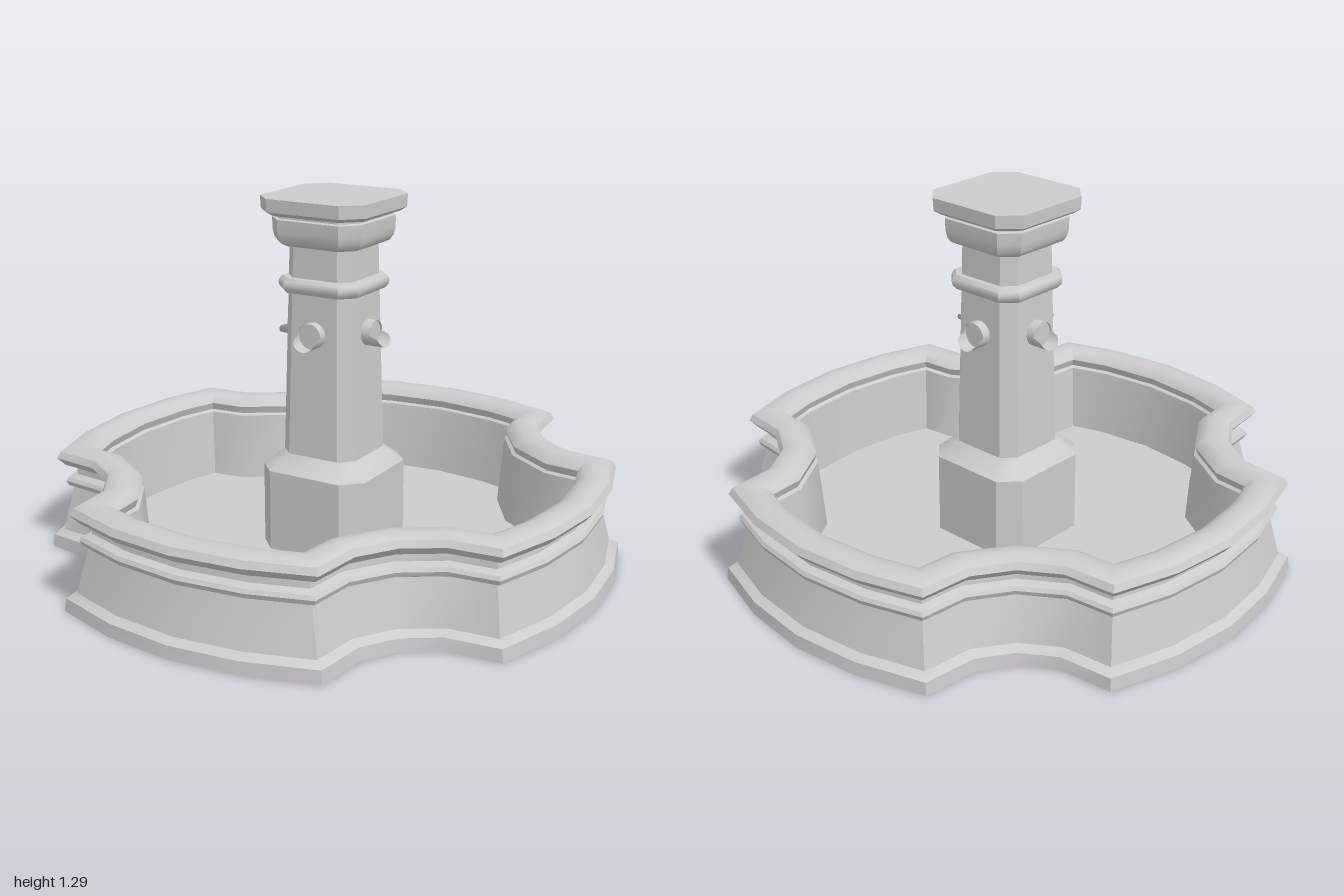
import * as THREE from 'three';
import { toCreasedNormals } from 'three/addons/utils/BufferGeometryUtils.js';

const material = new THREE.MeshStandardMaterial({ color: 0xcccccc, side: THREE.DoubleSide });

// One quarter of the lobed basin outline as [x, z], from the front to the left side
const QUARTER = [[0, 1], [0.25, 0.972], [0.495, 0.895], [0.515, 0.705],
  [0.59, 0.59], [0.705, 0.515], [0.895, 0.495], [0.972, 0.25]];

// Repeats a quarter outline around the y axis
function fourfold(quarter) {
  const points = [];
  let part = quarter;
  for (let k = 0; k < 4; k++) {
    points.push(...part);
    part = part.map(([x, z]) => [z, -x]);
  }
  return points;
}

// Moves a closed outline inward by d, with mitred corners
function inset(points, d) {
  const n = points.length;
  const normal = (a, b) => new THREE.Vector2(b[1] - a[1], a[0] - b[0]).normalize();
  return points.map((p, i) => {
    const n1 = normal(points[(i + n - 1) % n], p);
    const n2 = normal(p, points[(i + 1) % n]);
    const s = d / (1 + n1.dot(n2));
    return [p[0] + (n1.x + n2.x) * s, p[1] + (n1.y + n2.y) * s];
  });
}

// Joins closed rings, one per [size, y] profile point, into a surface
function loft(profile, ringAt) {
  const position = [], index = [];
  let n = 0;
  profile.forEach(([size, y], j) => {
    const ring = ringAt(size);
    n = ring.length;
    ring.forEach(([x, z], i) => {
      position.push(x, y, z);
      if (j === profile.length - 1) return;
      const a = j * n + i, b = j * n + (i + 1) % n;
      index.push(a, b, b + n, a, b + n, a + n);
    });
  });
  const geometry = new THREE.BufferGeometry();
  geometry.setAttribute('position', new THREE.Float32BufferAttribute(position, 3));
  geometry.setIndex(index);
  return toCreasedNormals(geometry, 0.6);
}

// Square with cut corners, h is half its width
function octagon(h) {
  const c = h * 0.68;
  return fourfold([[-c, h], [c, h]]);
}

function add(parent, name, geometry) {
  const mesh = new THREE.Mesh(geometry, material);
  mesh.name = name;
  parent.add(mesh);
  return mesh;
}

// Half-pipe whose lower lip reaches out furthest
function scoopGeometry(radius, back, front, reach) {
  const position = [], index = [], steps = 16;
  for (let i = 0; i <= steps; i++) {
    const a = Math.PI * (1 + i / steps);
    const h = 1 + Math.sin(a);
    const x = Math.cos(a) * radius, y = Math.sin(a) * radius;
    position.push(x, y, back, x, y, front + reach * Math.sqrt(Math.max(0, 1 - h * h)));
    if (i < steps) {
      const k = i * 2;
      index.push(k, k + 2, k + 3, k, k + 3, k + 1);
    }
  }
  const geometry = new THREE.BufferGeometry();
  geometry.setAttribute('position', new THREE.Float32BufferAttribute(position, 3));
  geometry.setIndex(index);
  geometry.computeVertexNormals();
  return geometry;
}

export function createModel() {
  const model = new THREE.Group();
  model.name = 'fountain';

  // Basin wall: plinth, leaning wall, moulding, rounded rim and inner face
  const outline = fourfold(QUARTER);
  const wallProfile = [[0, 0], [0.005, 0.045], [0.035, 0.062], [0.073, 0.22],
    [0.056, 0.228], [0.049, 0.245], [0.057, 0.258], [0.083, 0.268], [0.086, 0.303],
    [0.05, 0.306], [0.025, 0.335], [0.037, 0.358], [0.058, 0.369], [0.085, 0.372],
    [0.112, 0.369], [0.137, 0.358], [0.153, 0.338], [0.143, 0.31], [0.155, 0.303], [0.175, 0.05]];
  add(model, 'basinWall', loft(wallProfile, (d) => inset(outline, d)));

  // Basin floor
  const floorShape = new THREE.Shape(inset(outline, 0.175).map(([x, z]) => new THREE.Vector2(x, -z)));
  const floor = add(model, 'basinFloor', new THREE.ShapeGeometry(floorShape).rotateX(-Math.PI / 2));
  floor.position.y = 0.05;

  // Column: pedestal, tapered shaft, collar, capital and top slab
  const column = new THREE.Group();
  column.name = 'column';
  model.add(column);
  const columnParts = {
    pedestal: [[0.205, 0.05], [0.205, 0.34], [0.143, 0.396]],
    shaft: [[0.144, 0.39], [0.125, 1.15]],
    collar: [[0.125, 0.968], [0.145, 0.97], [0.155, 0.983], [0.158, 0.996], [0.155, 1.009],
      [0.145, 1.02], [0.125, 1.022]],
    capital: [[0.12, 1.13], [0.143, 1.13], [0.158, 1.138], [0.168, 1.155], [0.173, 1.18],
      [0.174, 1.222], [0.165, 1.226], [0.165, 1.236]],
    topSlab: [[0.165, 1.234], [0.185, 1.236], [0.205, 1.25], [0.207, 1.295], [0, 1.295]],
  };
  for (const [name, profile] of Object.entries(columnParts)) add(column, name, loft(profile, octagon));

  // A spout on each of the four column faces
  const disc = new THREE.CylinderGeometry(0.045, 0.045, 0.06, 20).rotateX(Math.PI / 2);
  const scoop = scoopGeometry(0.045, 0.13, 0.165, 0.042);
  for (let k = 0; k < 4; k++) {
    const spout = new THREE.Group();
    spout.name = 'spout';
    spout.position.y = 0.832;
    spout.rotation.y = k * Math.PI / 2;
    add(spout, 'spoutPlate', disc).position.z = 0.127;
    add(spout, 'spoutLip', scoop);
    column.add(spout);
  }
  // Short upper collars of the spouts
  const hood = new THREE.CylinderGeometry(0.045, 0.045, 0.04, 12, 1, true, Math.PI / 2, Math.PI)
    .rotateX(Math.PI / 2);
  column.children.filter((c) => c.name === 'spout')
    .forEach((spout) => { add(spout, 'spoutHood', hood).position.z = 0.145; });

  return model;
}
